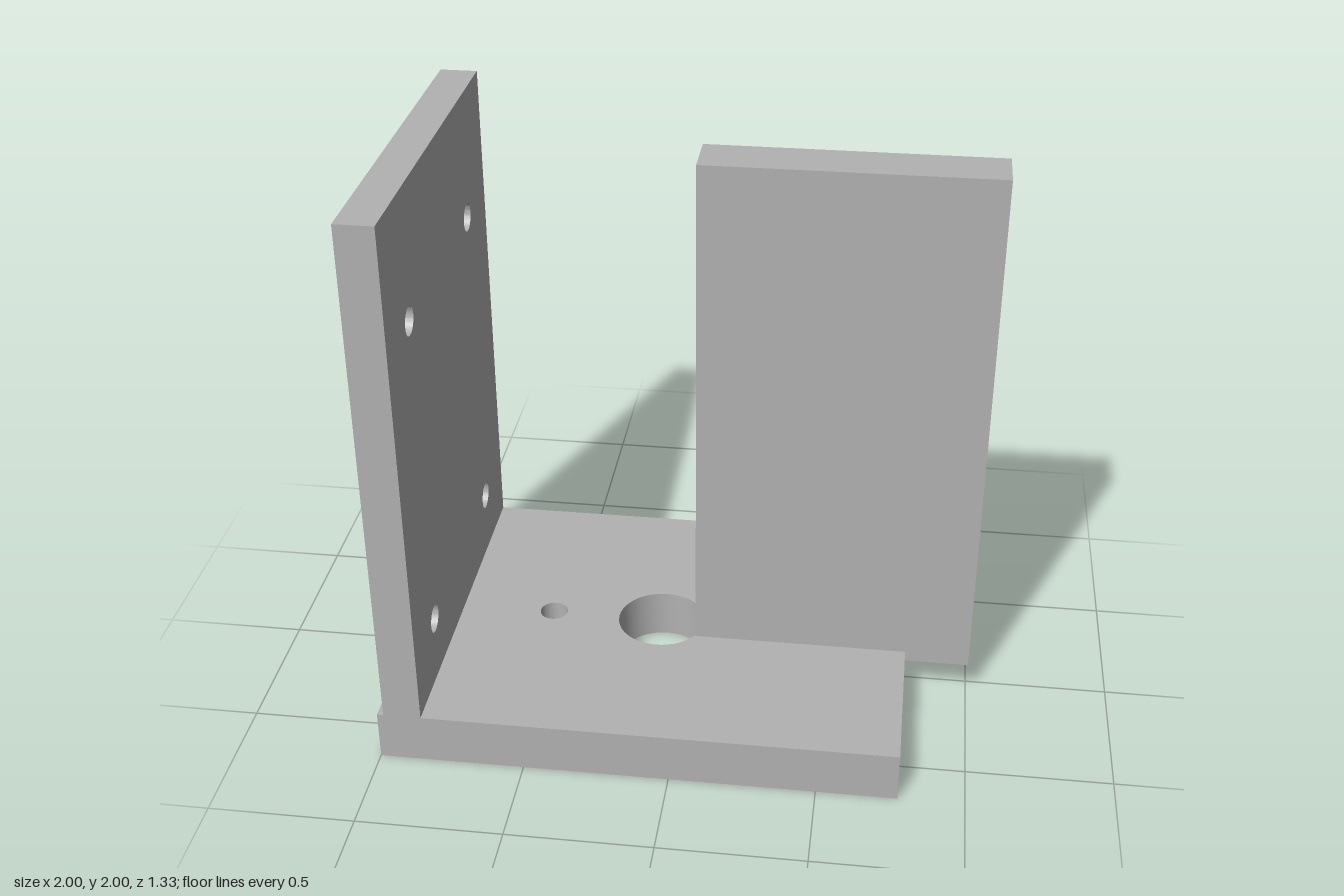
import * as THREE from 'three';
import { toCreasedNormals } from 'three/addons/utils/BufferGeometryUtils.js';

// Rectangular plate from (x0, y0) to (x1, y1) with round holes [x, y, radius]
function drilledPlate(x0, y0, x1, y1, depth, holes) {
  const shape = new THREE.Shape();
  shape.moveTo(x0, y0).lineTo(x1, y0).lineTo(x1, y1).lineTo(x0, y1).closePath();
  for (const [x, y, r] of holes) {
    shape.holes.push(new THREE.Path().absarc(x, y, r, 0, Math.PI * 2, true));
  }
  return new THREE.ExtrudeGeometry(shape, { depth, bevelEnabled: false, curveSegments: 24 });
}

export function createModel() {
  const model = new THREE.Group();
  model.name = 'mountingBracket';
  const grey = new THREE.MeshStandardMaterial({ color: 0xb2b2b2 });
  grey.name = 'grey';

  const add = (name, geometry) => {
    const mesh = new THREE.Mesh(toCreasedNormals(geometry, 0.6), grey);
    mesh.name = name;
    model.add(mesh);
  };

  // Base plate: large central bore with a screw hole on each side
  const base = drilledPlate(-1, -0.665, 0.775, 0.665, 0.178, [
    [-0.113, 0, 0.157], [-0.513, 0, 0.05], [0.287, 0, 0.05],
  ]);
  base.rotateX(-Math.PI / 2);
  add('basePlate', base);

  // Upright wall with four mounting holes
  const wallHoles = [];
  for (const z of [-0.4, 0.4]) {
    for (const y of [0.403, 1.558]) wallHoles.push([z, y, 0.05]);
  }
  const wall = drilledPlate(-0.665, 0.178, 0.665, 2, 0.13, wallHoles);
  wall.rotateY(-Math.PI / 2).translate(-0.848, 0, 0);
  add('mountingWall', wall);

  // Central fin, let into the base and overhanging its end
  const fin = new THREE.BoxGeometry(0.978, 1.86, 0.176);
  fin.translate(0.511, 1.07, 0);
  add('centralFin', fin);

  return model;
}
